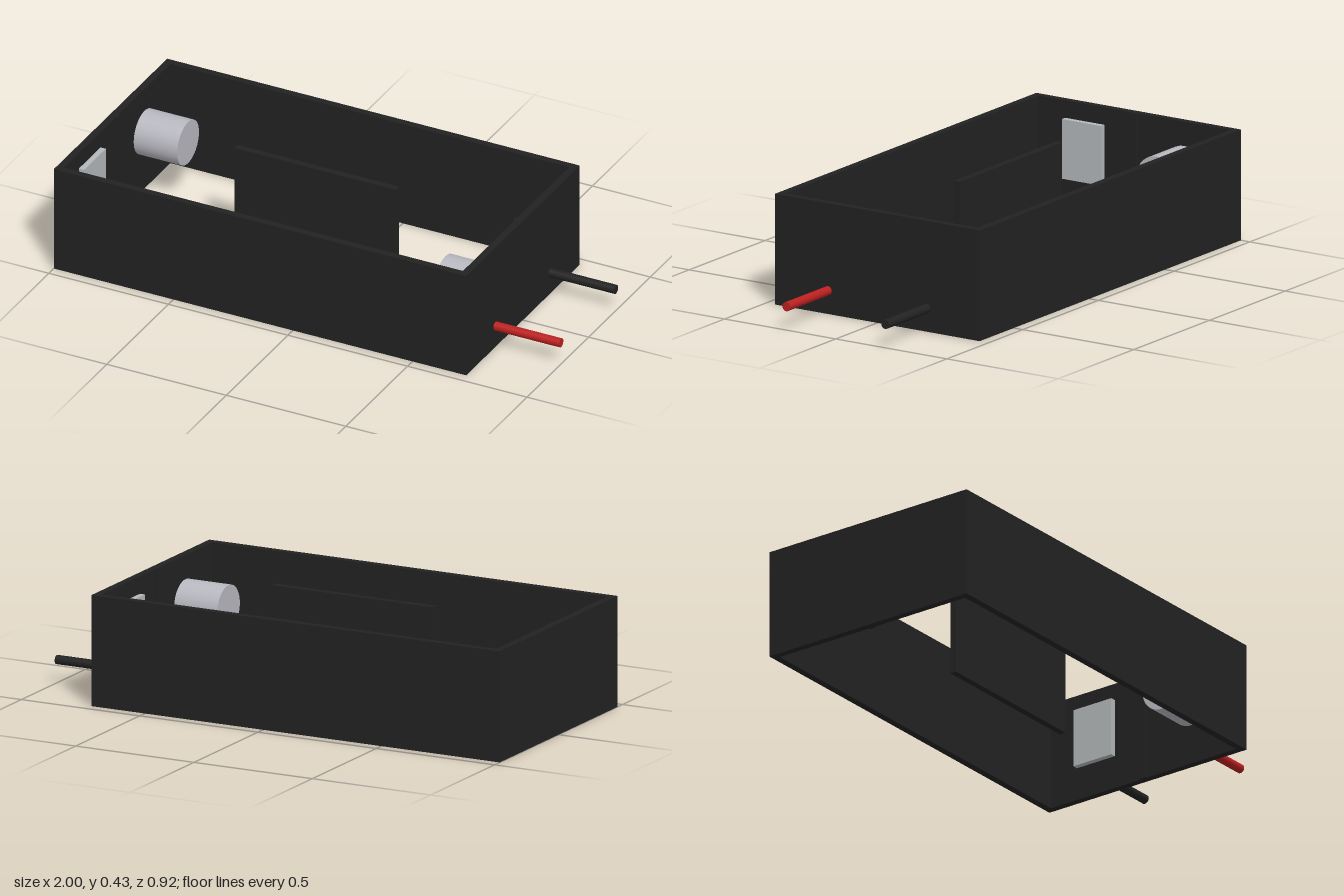
import * as THREE from 'three';

const material = (name, color) => {
  const m = new THREE.MeshStandardMaterial({ color });
  m.name = name;
  return m;
};

export function createModel() {
  const group = new THREE.Group();
  const black = material('black plastic', 0x222222);
  const red = material('red insulation', 0xbb2020);
  const springMetal = material('spring metal', 0xb8b8c0);
  const plateMetal = material('plate metal', 0xb4b8ba);

  const X0 = -1, X1 = 0.725, Z = 0.46, H = 0.427, WALL = 0.028;
  const LANE = 0.2225, CONTACT_Y = 0.245;

  const add = (name, geometry, mat) => {
    const mesh = new THREE.Mesh(geometry, mat);
    mesh.name = name;
    group.add(mesh);
  };
  // box given by its x, y and z ranges
  const block = (name, [xa, xb], [ya, yb], [za, zb], mat) =>
    add(name, new THREE.BoxGeometry(xb - xa, yb - ya, zb - za)
      .translate((xa + xb) / 2, (ya + yb) / 2, (za + zb) / 2), mat);
  // cylinder lying along x
  const rod = (name, xa, xb, y, z, r, sides, mat) =>
    add(name, new THREE.CylinderGeometry(r, r, xb - xa, sides)
      .rotateZ(Math.PI / 2).translate((xa + xb) / 2, y, z), mat);

  // Case: one rectangular ring, open above and below
  const outline = new THREE.Shape([
    new THREE.Vector2(X0, -Z), new THREE.Vector2(X1, -Z),
    new THREE.Vector2(X1, Z), new THREE.Vector2(X0, Z),
  ]);
  outline.holes.push(new THREE.Path([
    new THREE.Vector2(X0 + WALL, -Z + WALL), new THREE.Vector2(X0 + WALL, Z - WALL),
    new THREE.Vector2(X1 - WALL, Z - WALL), new THREE.Vector2(X1 - WALL, -Z + WALL),
  ]));
  add('caseWalls', new THREE.ExtrudeGeometry(outline, { depth: H, bevelEnabled: false })
    .rotateX(-Math.PI / 2), black);

  // Central divider and the shallow ribs in line with it
  const mid = [-0.013, 0.013];
  const left = X0 + WALL, right = X1 - WALL;
  block('divider', [-0.475, 0.2], [0, H], mid, black);
  block('ribNegativeEnd', [left - 0.01, left + 0.007], [0, H], mid, black);
  block('ribPositiveEnd', [right - 0.007, right + 0.01], [0, H], mid, black);

  // Each lane has a spring at one end and a flat contact at the other
  rod('backSpring', left, -0.79, CONTACT_Y, -LANE, 0.0885, 40, springMetal);
  rod('frontSpring', 0.515, right, CONTACT_Y, LANE, 0.0885, 40, springMetal);
  const plateY = [CONTACT_Y - 0.115, CONTACT_Y + 0.115];
  block('frontContactPlate', [left, -0.95], plateY, [LANE - 0.0885, LANE + 0.0885], plateMetal);
  block('backContactPlate', [0.675, right], plateY, [-LANE - 0.0885, -LANE + 0.0885], plateMetal);

  // Lead wires
  rod('redWire', X1 - 0.01, 1, 0.09, LANE, 0.0175, 24, red);
  rod('blackWire', X1 - 0.01, 1, 0.09, -LANE, 0.0175, 24, black);

  return group;
}
